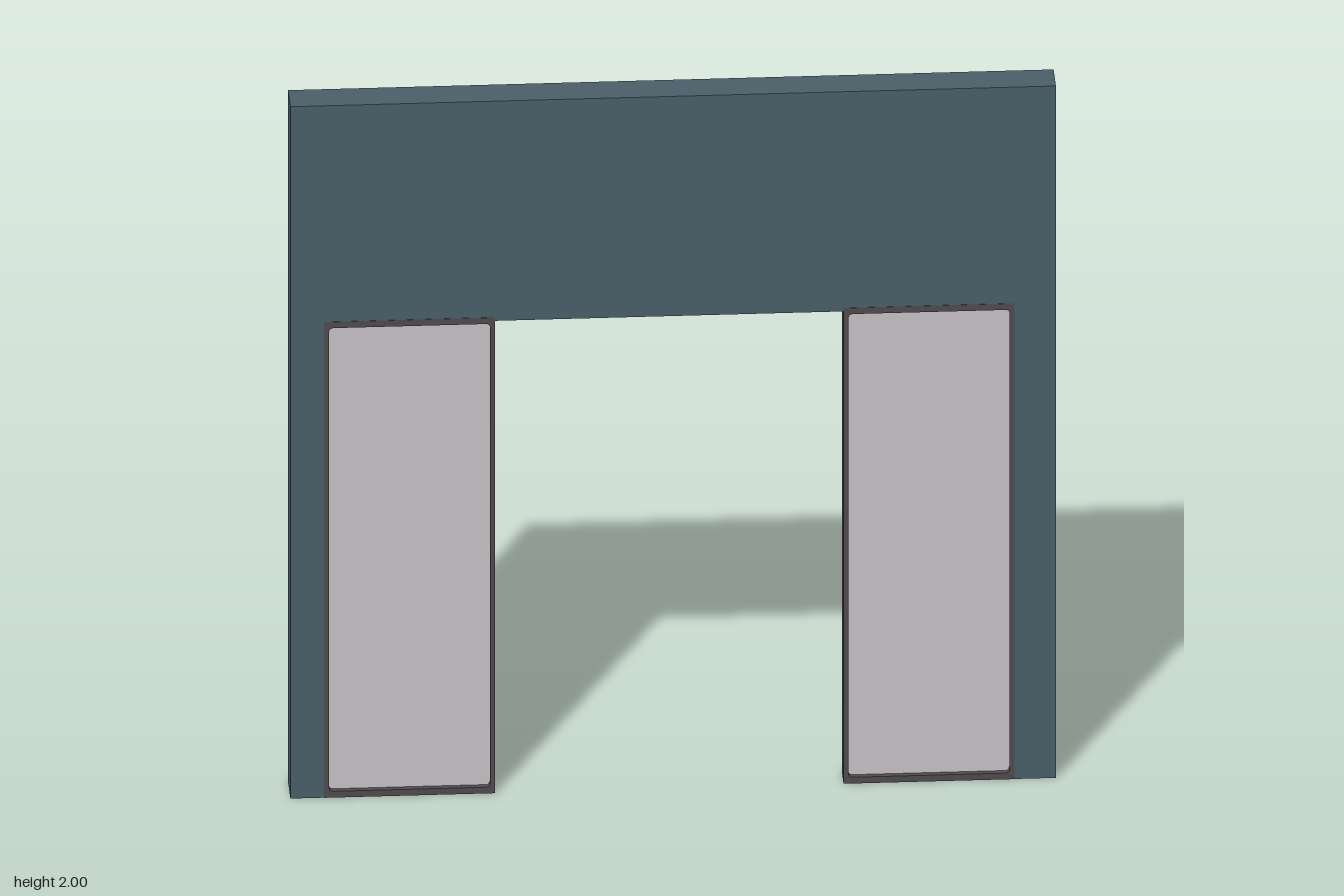
import * as THREE from 'three';

const mat = (name, color) => {
  const m = new THREE.MeshStandardMaterial({ color });
  m.name = name;
  return m;
};

export function createModel() {
  const slate = mat('slate paint', 0x4a5f68);
  const brown = mat('brown inner face', 0xb88c6e);
  const dark = mat('dark frame', 0x4e4a4d);
  const pale = mat('pale panel', 0xc6c0c5);

  const model = new THREE.Group();
  model.name = 'wallWithSidePanels';
  const add = (parent, name, geometry, material, x = 0, y = 0, z = 0) => {
    const mesh = new THREE.Mesh(geometry, material);
    mesh.name = name;
    mesh.position.set(x, y, z);
    parent.add(mesh);
    return mesh;
  };

  // Wall: one outline with an open doorway at the bottom
  const left = -0.91, right = 0.89, head = 1.365;
  const outline = new THREE.Shape([
    [-1, 0], [left, 0], [left, head], [right, head],
    [right, 0], [1, 0], [1, 2], [-1, 2],
  ].map(([x, y]) => new THREE.Vector2(x, y)));
  const wall = new THREE.ExtrudeGeometry(outline, { depth: 0.1, bevelEnabled: false });
  wall.translate(0, 0, -0.05);

  // Front, top and outer ends are painted; back, reveal and underside are brown
  const pos = wall.attributes.position, nor = wall.attributes.normal;
  wall.clearGroups();
  for (let i = 0; i < pos.count; i += 3) {
    const outerEnd = Math.abs(nor.getX(i)) > 0.5 && Math.abs(pos.getX(i)) > 0.99;
    const painted = nor.getZ(i) > 0.5 || nor.getY(i) > 0.5 || outerEnd;
    wall.addGroup(i, 3, painted ? 0 : 1);
  }
  add(model, 'wall', wall, [slate, brown]);

  // Rounded opening of a panel frame
  const roundedHole = (x0, y0, x1, y1, r) => {
    const p = new THREE.Path();
    p.moveTo(x0 + r, y0);
    p.lineTo(x1 - r, y0);
    p.quadraticCurveTo(x1, y0, x1, y0 + r);
    p.lineTo(x1, y1 - r);
    p.quadraticCurveTo(x1, y1, x1 - r, y1);
    p.lineTo(x0 + r, y1);
    p.quadraticCurveTo(x0, y1, x0, y1 - r);
    p.lineTo(x0, y0 + r);
    p.quadraticCurveTo(x0, y0, x0 + r, y0);
    return p;
  };

  // Framed side panels, flush with the front and set in from the back
  const w = 0.447, h = 1.375, border = 0.013, sill = 0.018;
  const addPanel = (name, x) => {
    const panel = new THREE.Group();
    panel.name = name;
    panel.position.x = x;
    model.add(panel);

    const rim = new THREE.Shape([
      new THREE.Vector2(-w / 2, 0), new THREE.Vector2(w / 2, 0),
      new THREE.Vector2(w / 2, h), new THREE.Vector2(-w / 2, h),
    ]);
    rim.holes.push(roundedHole(-w / 2 + border, sill, w / 2 - border, h - sill, 0.012));
    const frame = new THREE.ExtrudeGeometry(rim, { depth: 0.059, bevelEnabled: false, curveSegments: 4 });
    add(panel, 'frame', frame, dark, 0, 0, -0.008);

    add(panel, 'pane', new THREE.BoxGeometry(w - border, h - sill, 0.043), pale, 0, h / 2, 0.0135);
    add(panel, 'backSheet', new THREE.BoxGeometry(w, h, 0.003), pale, 0, h / 2, -0.0095);
  };
  addPanel('rightPanel', left - 0.002 + w / 2);
  addPanel('leftPanel', right + 0.002 - w / 2);

  return model;
}
